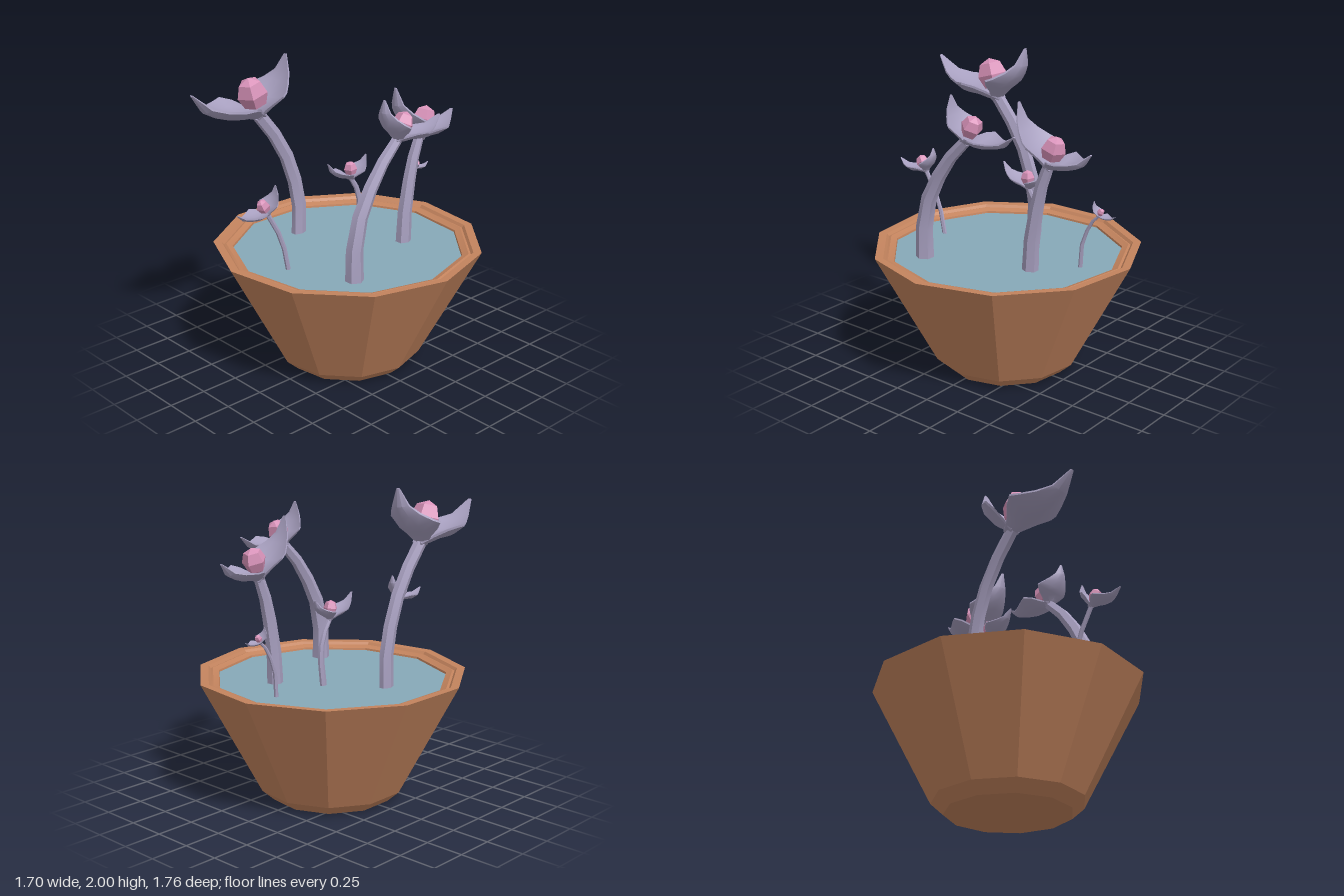
import * as THREE from 'three';
import { toCreasedNormals } from 'three/addons/utils/BufferGeometryUtils.js';

const mat = (name, color) => {
  const m = new THREE.MeshStandardMaterial({ color });
  m.name = name;
  return m;
};

function addMesh(parent, name, geometry, material) {
  const m = new THREE.Mesh(geometry, material);
  m.name = name;
  parent.add(m);
  return m;
}

// Skin a closed, capped solid over a list of rings of equal point count
function loft(rings, crease) {
  const n = rings[0].length, last = (rings.length - 1) * n, index = [];
  for (let i = 0; i < rings.length - 1; i++) {
    for (let j = 0; j < n; j++) {
      const k = (j + 1) % n, a = i * n + j, b = i * n + k;
      index.push(a, b, b + n, a, b + n, a + n);
    }
  }
  for (let j = 1; j < n - 1; j++) {
    index.push(0, j + 1, j, last, last + j, last + j + 1);
  }
  const g = new THREE.BufferGeometry().setFromPoints(rings.flat());
  g.setIndex(index);
  return toCreasedNormals(g, crease);
}

// Cross-sections along a spine of [z, y] points; section(i) gives [side, normal] offsets
function sweep(spine, section, crease) {
  const rings = spine.map(([z, y], i) => {
    const p = spine[Math.max(i - 1, 0)], q = spine[Math.min(i + 1, spine.length - 1)];
    const len = Math.hypot(q[0] - p[0], q[1] - p[1]);
    const tz = (q[0] - p[0]) / len, ty = (q[1] - p[1]) / len;
    return section(i).map(([s, h]) => new THREE.Vector3(s, y + h * tz, z - h * ty));
  });
  return loft(rings, crease);
}

// Cupped petal pointing to +z with an upturned tip
function petalGeometry(length) {
  const spine = [[-0.03, -0.025], [0.04, 0.015], [0.09, 0.05], [0.15, 0.07],
    [0.21, 0.098], [0.29, 0.155], [0.36, 0.22], [0.417, 0.35]]
    .map(([z, y]) => [z * length, y * length]);
  const width = [0.035, 0.08, 0.145, 0.19, 0.17, 0.115, 0.065, 0.012];
  const cup = [0.01, 0.035, 0.055, 0.075, 0.06, 0.035, 0.02, 0.003];
  const thick = [0.03, 0.05, 0.05, 0.045, 0.045, 0.045, 0.04, 0.012];
  const section = i => {
    const at = (u, side) =>
      [u * width[i], cup[i] * u * u + side * thick[i] * 0.5 * (1 - 0.7 * u * u)];
    return [
      ...[-1, -0.5, 0, 0.5, 1].map(u => at(u, -1)),
      ...[1, 0.5, 0, -0.5, -1].map(u => at(u, 1)),
    ];
  };
  return sweep(spine, section, 0.6);
}

// Six-sided tapering stem
function stemGeometry(points, rx0, rx1, rz0, rz1) {
  const section = i => {
    const t = i / (points.length - 1);
    const rx = rx0 + (rx1 - rx0) * t, rz = rz0 + (rz1 - rz0) * t;
    return Array.from({ length: 6 }, (_, j) => {
      const a = j * Math.PI / 3;
      return [rx * Math.cos(a), rz * Math.sin(a)];
    });
  };
  return sweep(points, section, 0.3);
}

export function createModel() {
  const clay = mat('clay', 0xc4845e);
  const water = mat('water', 0x86a8b7);
  const lavender = mat('lavender', 0xa8a0c0);
  const pink = mat('pink', 0xd993ba);
  const model = new THREE.Group();
  model.name = 'flowerPot';

  // Eleven-sided pot with a stepped rim
  const profile = [[0, 0], [0.4, 0], [0.478, 0.07], [0.868, 0.815], [0.815, 0.812],
    [0.8, 0.795], [0.785, 0.8], [0.745, 0.785], [0.735, 0.74]]
    .map(([r, y]) => new THREE.Vector2(r, y));
  const potGeo = new THREE.LatheGeometry(profile, 11).rotateY(Math.PI / 2);
  const pot = addMesh(model, 'pot', toCreasedNormals(potGeo, 0.3), clay);
  pot.position.set(-0.015, 0, -0.025);

  const surface = new THREE.CircleGeometry(0.75, 11).rotateX(-Math.PI / 2);
  const pool = addMesh(model, 'waterSurface', surface, water);
  pool.position.set(-0.015, 0.772, -0.025);

  // Flowers: x, head size, facing (+1 front, -1 back), tilt in degrees,
  // stem radii (x base, x top, z base, z top), stem path as [z, y]
  const flowers = [
    { x: -0.41, size: 1, face: 1, tilt: 16.5, r: [0.036, 0.036, 0.055, 0.045],
      path: [[0.055, 0.74], [0.05, 0.97], [0.085, 1.15], [0.15, 1.33], [0.25, 1.5], [0.37, 1.65]] },
    { x: 0.4, size: 0.69, face: -1, tilt: 27, r: [0.058, 0.03, 0.06, 0.035],
      path: [[0.31, 0.74], [0.31, 0.97], [0.265, 1.17], [0.18, 1.33], [0.08, 1.47], [-0.04, 1.59]] },
    { x: 0.165, size: 0.78, face: 1, tilt: -18, r: [0.048, 0.03, 0.055, 0.035],
      path: [[-0.35, 0.74], [-0.36, 0.97], [-0.395, 1.18], [-0.43, 1.33], [-0.48, 1.46]] },
    { x: -0.1, size: 0.45, face: 1, tilt: 5, r: [0.016, 0.014, 0.026, 0.016],
      path: [[-0.185, 0.74], [-0.21, 0.93], [-0.205, 1.03], [-0.175, 1.12], [-0.13, 1.19]] },
    { x: 0, size: 0.43, face: 1, tilt: 28, r: [0.013, 0.013, 0.016, 0.016],
      path: [[0.49, 0.74], [0.525, 0.92], [0.57, 1.04], [0.65, 1.18]] },
    { x: -0.065, size: 0.23, face: -1, tilt: 30, r: [0.014, 0.008, 0.014, 0.009],
      path: [[-0.565, 0.74], [-0.575, 0.92], [-0.61, 1.02], [-0.65, 1.09], [-0.69, 1.13]] },
  ];

  const longPetal = petalGeometry(1);
  const shortPetal = petalGeometry(0.77).rotateY(Math.PI);
  const budGeo = toCreasedNormals(new THREE.SphereGeometry(0.1, 5, 4), 0.1);
  budGeo.scale(1, 1.1, 1);

  for (const f of flowers) {
    const flower = new THREE.Group();
    flower.name = 'flower';
    flower.position.x = f.x;
    model.add(flower);
    addMesh(flower, 'stem', stemGeometry(f.path, ...f.r), lavender);

    const head = new THREE.Group();
    head.name = 'flowerHead';
    const [z, y] = f.path[f.path.length - 1];
    head.position.set(0, y, z);
    head.rotation.order = 'YXZ';
    head.rotation.set(THREE.MathUtils.degToRad(f.tilt), f.face > 0 ? 0 : Math.PI, 0);
    head.scale.setScalar(f.size);
    flower.add(head);
    addMesh(head, 'longPetal', longPetal, lavender);
    addMesh(head, 'shortPetal', shortPetal, lavender);
    addMesh(head, 'bud', budGeo, pink).position.y = 0.15;
  }
  return model;
}
